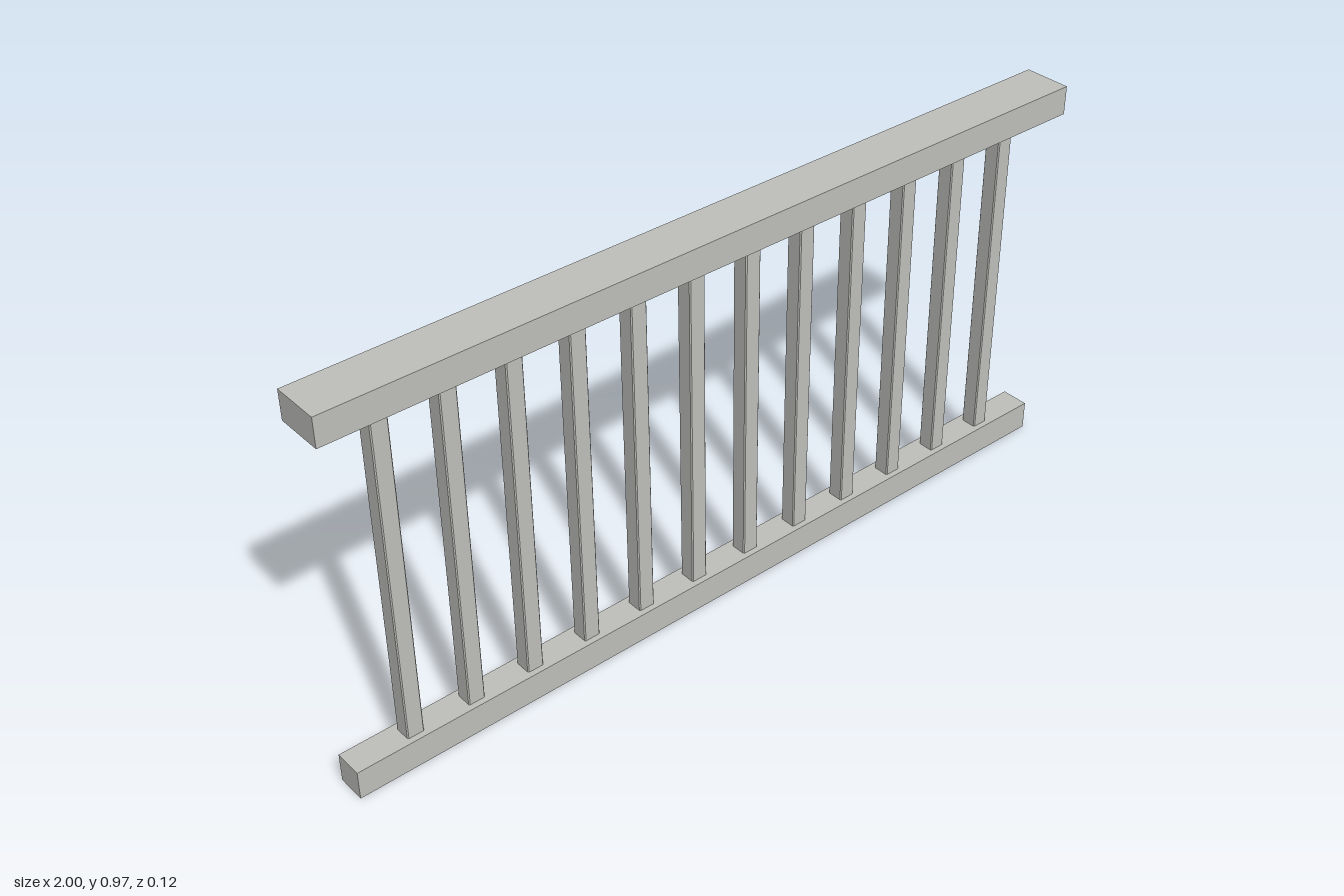
import * as THREE from 'three';

export function createModel() {
  const group = new THREE.Group();
  const grey = new THREE.MeshStandardMaterial({ color: 0xc0c0bc });
  grey.name = 'stone grey';

  function add(name, geometry, x, y, z) {
    const mesh = new THREE.Mesh(geometry, grey);
    mesh.name = name;
    mesh.position.set(x, y, z);
    group.add(mesh);
  }

  // Horizontal rails
  add('topRail', new THREE.BoxGeometry(2, 0.07, 0.117), 0, 0.935, 0);
  add('bottomRail', new THREE.BoxGeometry(2, 0.072, 0.07), 0, 0.036, 0);

  // Square baluster with slightly eased vertical edges
  const w = 0.0205, c = 0.0025, height = 0.828;
  const section = new THREE.Shape([
    [w, c - w], [w, w - c], [w - c, w], [c - w, w],
    [-w, w - c], [-w, c - w], [c - w, -w], [w - c, -w],
  ].map(([x, y]) => new THREE.Vector2(x, y)));
  const baluster = new THREE.ExtrudeGeometry(section, { depth: height, bevelEnabled: false });
  baluster.rotateX(-Math.PI / 2);

  // Evenly spaced row between the rails
  const count = 12, spacing = 0.154;
  for (let i = 0; i < count; i++) {
    add(`baluster${i + 1}`, baluster, (i - (count - 1) / 2) * spacing, 0.072, 0);
  }
  return group;
}
